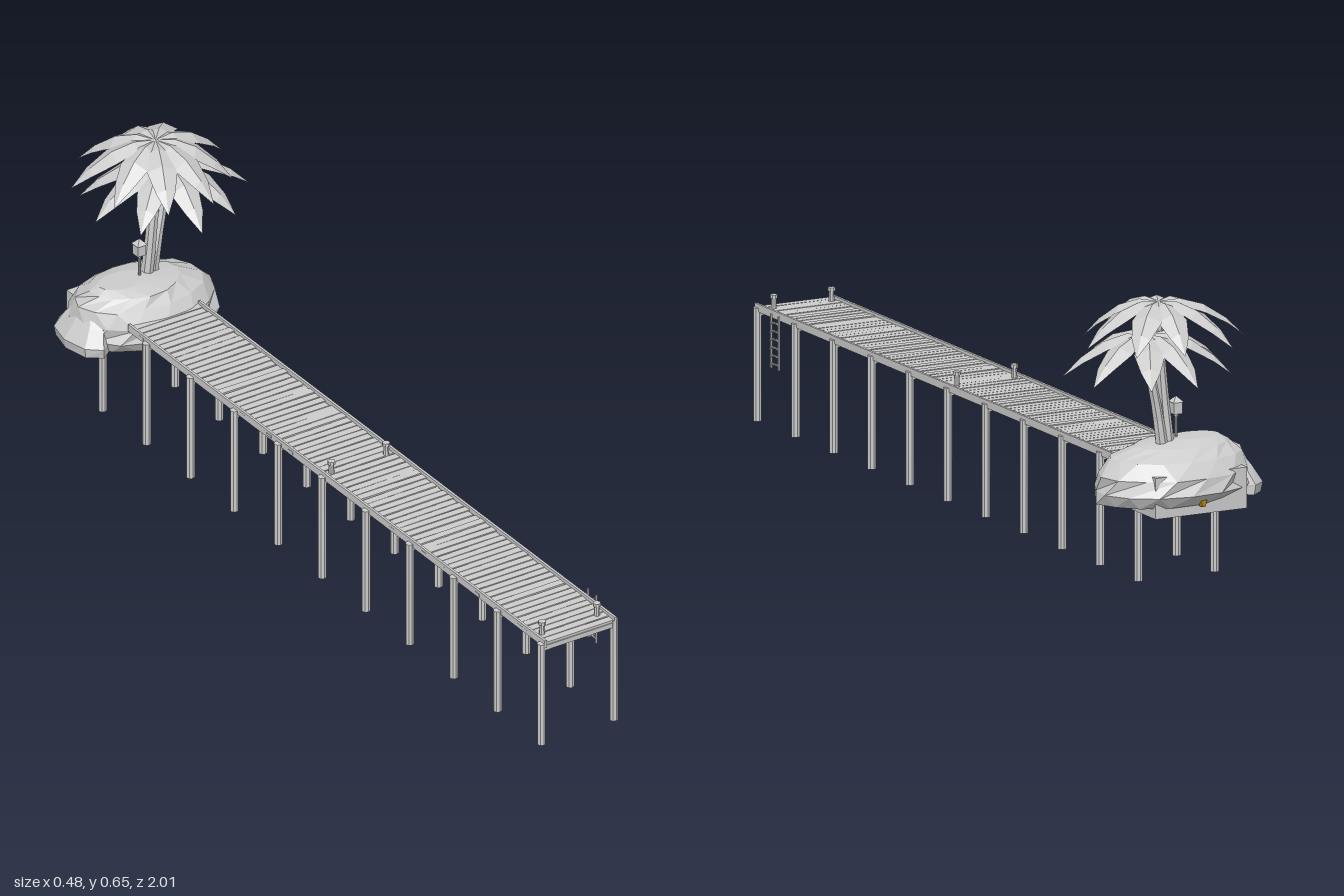
import * as THREE from 'three';

const stone = new THREE.MeshStandardMaterial({ color: 0xcccccc });
stone.name = 'pale grey';
const leafMat = new THREE.MeshStandardMaterial({ color: 0xcccccc, side: THREE.DoubleSide });
leafMat.name = 'pale grey leaf';
const yellow = new THREE.MeshStandardMaterial({ color: 0xb8860b });
yellow.name = 'ochre yellow';
const brown = new THREE.MeshStandardMaterial({ color: 0x8a5a14 });
brown.name = 'coconut brown';

let seed = 7;
const rnd = () => ((seed = (seed * 16807) % 2147483647) / 2147483647) * 2 - 1;

function flat(geo) {
  const g = geo.index ? geo.toNonIndexed() : geo;
  g.computeVertexNormals();
  return g;
}

function add(parent, name, geo, mat, x = 0, y = 0, z = 0) {
  const m = new THREE.Mesh(geo, mat);
  m.name = name;
  m.position.set(x, y, z);
  parent.add(m);
  return m;
}

const box = (p, name, w, h, d, x, y, z, mat = stone) =>
  add(p, name, new THREE.BoxGeometry(w, h, d), mat, x, y, z);
const cyl = (p, name, rt, rb, y0, y1, x, z, sides = 8) =>
  add(p, name, flat(new THREE.CylinderGeometry(rt, rb, y1 - y0, sides)), stone, x, (y0 + y1) / 2, z);

// Skin a list of closed rings of points, with both ends capped
function loft(rings) {
  const pos = [];
  const tri = (...ps) => ps.forEach((p) => pos.push(p.x, p.y, p.z));
  const n = rings[0].length;
  const mid = (r) => r.reduce((s, p) => s.add(p), new THREE.Vector3()).divideScalar(n);
  const first = rings[0], last = rings[rings.length - 1];
  const c0 = mid(first), c1 = mid(last);
  for (let i = 0; i < n; i++) {
    const j = (i + 1) % n;
    for (let k = 0; k < rings.length - 1; k++) {
      const a = rings[k], b = rings[k + 1];
      tri(a[i], b[i], a[j]);
      tri(a[j], b[i], b[j]);
    }
    tri(c0, first[i], first[j]);
    tri(c1, last[j], last[i]);
  }
  const g = new THREE.BufferGeometry();
  g.setAttribute('position', new THREE.Float32BufferAttribute(pos, 3));
  return flat(g);
}

const ring = (n, cx, y, cz, rx, rz, jitter = 0, turn = 0) =>
  Array.from({ length: n }, (_, i) => {
    const a = ((i + turn) / n) * Math.PI * 2, k = 1 + rnd() * jitter;
    return new THREE.Vector3(cx + Math.cos(a) * rx * k, y, cz + Math.sin(a) * rz * k);
  });

// Folded, drooping palm frond pointing along +x
function frond(length) {
  const half = [0.006, 0.026, 0.035, 0.022, 0];
  const ts = [0, 0.25, 0.52, 0.78, 1];
  const pos = [], idx = [];
  ts.forEach((t, i) => {
    const y = 0.05 * t - 0.14 * t * t;
    for (const s of [-1, 0, 1]) pos.push(length * t, y - Math.abs(s) * half[i] * 0.4, s * half[i]);
    if (i === 0) return;
    for (let c = 0; c < 2; c++) {
      const a = (i - 1) * 3 + c, b = i * 3 + c;
      idx.push(a, a + 1, b, b, a + 1, b + 1);
    }
  });
  const g = new THREE.BufferGeometry();
  g.setAttribute('position', new THREE.Float32BufferAttribute(pos, 3));
  g.setIndex(idx);
  return flat(g);
}

// Bent trunk, crown of fronds and coconuts
function palm(path, count, turn, nuts) {
  const g = new THREE.Group();
  g.name = 'palmTree';
  const curve = new THREE.CatmullRomCurve3(path.map((p) => new THREE.Vector3(...p)));
  const rings = [];
  for (let i = 0; i <= 7; i++) {
    const t = i / 7, p = curve.getPoint(t), r = 0.015 - 0.006 * t;
    rings.push(ring(7, p.x, p.y, p.z, r, r, 0.06));
  }
  add(g, 'trunk', loft(rings), stone);
  const top = path[path.length - 1];
  for (let i = 0; i < count; i++) {
    const leaf = add(g, 'frond', frond(0.185 + rnd() * 0.018), leafMat, ...top);
    leaf.rotation.y = ((i + turn + rnd() * 0.12) / count) * Math.PI * 2;
  }
  nuts.forEach(([x, y, z]) =>
    add(g, 'coconut', flat(new THREE.IcosahedronGeometry(0.008, 1)), brown, x, y, z));
  return g;
}

export function createModel() {
  const model = new THREE.Group();
  model.name = 'islandPier';
  const L = -0.141, R = 0.055, mid = (L + R) / 2;

  // Pier posts and cross beams
  const pier = new THREE.Group();
  pier.name = 'pier';
  model.add(pier);
  for (let i = 0; i < 11; i++) {
    const z = 0.988 - i * 0.178;
    for (const x of [L, R]) cyl(pier, 'post', 0.01, 0.01, 0, 0.262, x, z);
    box(pier, 'crossBeam', R - L, 0.012, 0.012, mid, 0.25, z);
  }
  // Edge rails and loose planks
  for (const x of [L + 0.006, R - 0.001]) box(pier, 'edgeRail', 0.006, 0.018, 1.69, x, 0.262, 0.152);
  const planks = 78, step = 1.69 / planks;
  for (let i = 0; i < planks; i++) {
    const p = box(pier, 'plank', 0.186 + rnd() * 0.004, 0.006, step * 0.88,
      mid + rnd() * 0.002, 0.261 + rnd() * 0.001, 0.995 - (i + 0.5) * step);
    p.rotation.y = rnd() * 0.012;
  }
  // Mooring bollards
  for (const z of [0.955, 0.1]) for (const x of [-0.117, 0.031]) {
    cyl(pier, 'bollard', 0.006, 0.007, 0.26, 0.29, x, z);
    cyl(pier, 'bollardCap', 0.009, 0.009, 0.288, 0.296, x, z);
  }
  // Ladder on the pier's left side
  const ladder = new THREE.Group();
  ladder.name = 'ladder';
  model.add(ladder);
  for (const z of [0.855, 0.89]) box(ladder, 'ladderRail', 0.004, 0.125, 0.004, 0.073, 0.2075, z);
  for (let i = 0; i < 6; i++) {
    const y = 0.156 + i * 0.019;
    box(ladder, 'rung', 0.004, 0.003, 0.035, 0.073, y, 0.8725);
    box(ladder, 'rungStub', 0.024, 0.002, 0.003, 0.076, y, 0.8725);
  }

  // Rock island: height, x range, z range for each layer
  const island = new THREE.Group();
  island.name = 'island';
  model.add(island);
  const layers = [
    [0.19, -0.195, 0.16, -0.915, -0.675],
    [0.217, -0.215, 0.163, -0.938, -0.665],
    [0.252, -0.212, 0.153, -0.93, -0.668],
    [0.287, -0.2, 0.122, -0.9, -0.695],
    [0.31, -0.165, 0.06, -0.87, -0.715],
    [0.322, -0.15, -0.03, -0.83, -0.755],
  ];
  add(island, 'rock', loft(layers.map(([y, x0, x1, z0, z1], i) =>
    ring(15, (x0 + x1) / 2, y, (z0 + z1) / 2, (x1 - x0) / 2, (z1 - z0) / 2, 0.035, (i % 2) / 2))), stone);
  add(island, 'sideBoulder', loft([
    ring(8, -0.19, 0.19, -0.8, 0.045, 0.085, 0.06),
    ring(8, -0.193, 0.213, -0.8, 0.047, 0.09, 0.04),
    ring(8, -0.18, 0.25, -0.8, 0.035, 0.07, 0.06),
    ring(8, -0.17, 0.285, -0.8, 0.02, 0.04, 0.06),
  ]), stone);
  box(island, 'baseBlock', 0.235, 0.095, 0.112, -0.043, 0.2155, -0.853);

  // Canoe lying through the rock
  const hull = [[-0.655, 0.6], [-0.675, 1], [-0.79, 1.15], [-0.9, 1], [-0.922, 0.5]].reverse();
  add(model, 'canoe', loft(hull.map(([z, k]) =>
    [[0.019, 0.235], [0.018, 0.21], [0.008, 0.187], [-0.008, 0.187], [-0.018, 0.21], [-0.019, 0.235]]
      .map(([x, y]) => new THREE.Vector3(-0.043 + x * k, y, z)))), yellow);

  // Bird house on a pole
  const house = new THREE.Group();
  house.name = 'birdHouse';
  model.add(house);
  cyl(house, 'pole', 0.003, 0.003, 0.3, 0.38, -0.043, -0.79, 6);
  cyl(house, 'collar', 0.007, 0.005, 0.369, 0.376, -0.043, -0.79, 6);
  box(house, 'houseBox', 0.022, 0.028, 0.022, -0.043, 0.39, -0.79);
  cyl(house, 'roof', 0.001, 0.019, 0.403, 0.416, -0.043, -0.79, 4).rotation.y = Math.PI / 4;

  // Two palms
  model.add(palm([[-0.018, 0.295, -0.8], [-0.007, 0.42, -0.795], [0.006, 0.55, -0.8], [0.014, 0.646, -0.81]],
    9, 0.1, [[0.003, 0.617, -0.797], [0.016, 0.618, -0.824]]));
  model.add(palm([[0, 0.295, -0.805], [0.012, 0.38, -0.805], [0.034, 0.48, -0.812], [0.046, 0.575, -0.82]],
    9, 0.55, [[0.03, 0.541, -0.805], [0.05, 0.541, -0.803], [0.045, 0.541, -0.832]]));
  return model;
}
